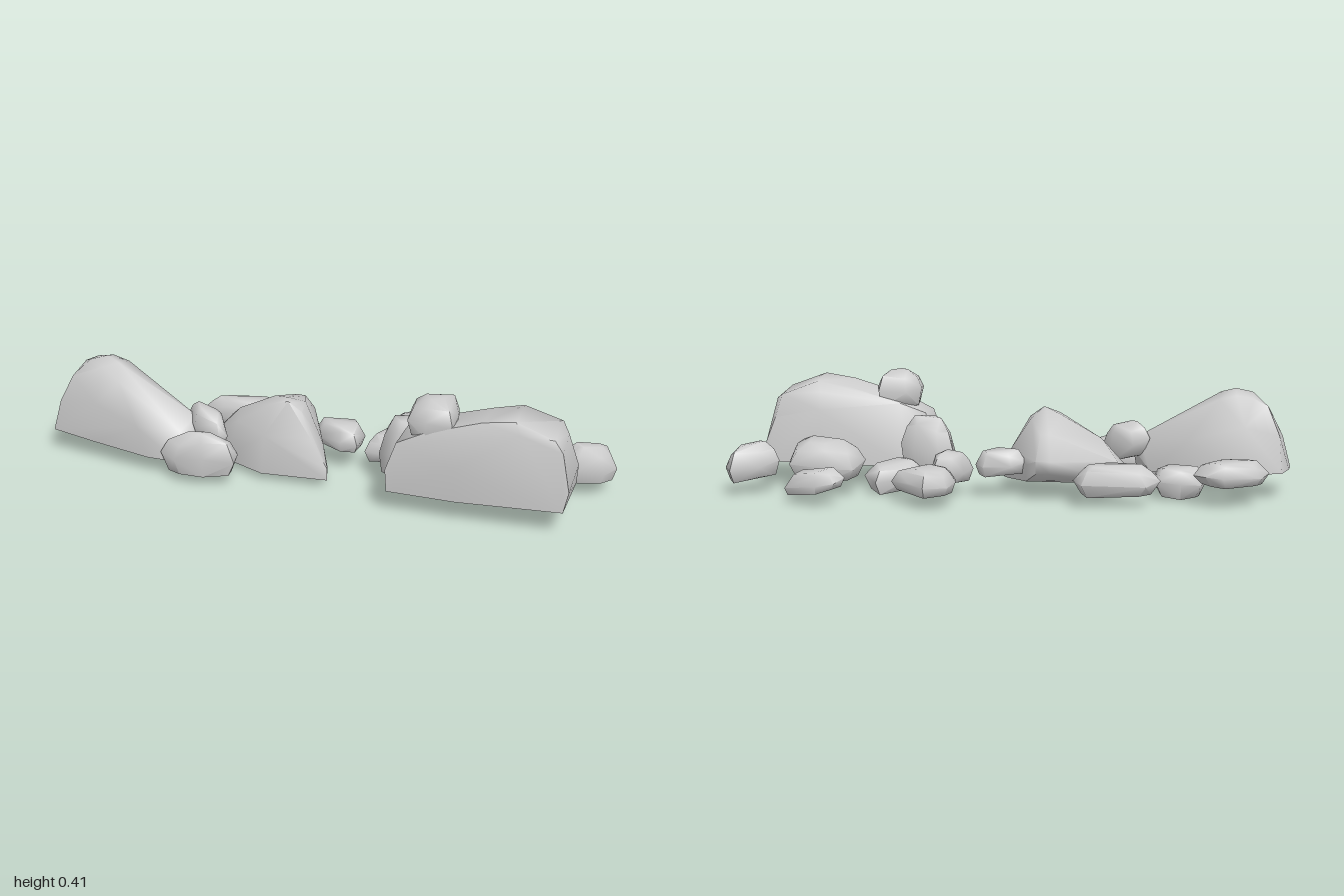
import * as THREE from 'three';
import { ConvexGeometry } from 'three/addons/geometries/ConvexGeometry.js';
import { toCreasedNormals } from 'three/addons/utils/BufferGeometryUtils.js';

const material = new THREE.MeshStandardMaterial({ color: 0xcccccc });

// A worn stone: the hull of its corner points, smooth except at strong edges
function stone(name, points) {
  const geometry = new ConvexGeometry(points.map((p) => new THREE.Vector3(...p)));
  const mesh = new THREE.Mesh(toCreasedNormals(geometry, 1.15), material);
  mesh.name = name;
  return mesh;
}

// A small stone from its plan outline [x, z]: inset base, wide belly, sloping shoulder, uneven top.
// tiltX and tiltZ lean the whole stone: rise in y per unit of x or z.
function pebble(name, outline, y0, y1, { belly = 0.35, top = 0.5, base = 0.72, tiltX = 0, tiltZ = 0 } = {}) {
  const cx = outline.reduce((s, p) => s + p[0], 0) / outline.length;
  const cz = outline.reduce((s, p) => s + p[1], 0) / outline.length;
  const h = y1 - y0;
  const points = [];
  // [height share, scale of the outline, unevenness]
  const rings = [[0, base, 0.07], [belly, 1, 0.12], [belly + (1 - belly) * 0.6, 0.8, 0.1], [1, top, -0.12]];
  rings.forEach(([t, s, uneven], r) => {
    outline.forEach(([x, z], i) => {
      const dx = (x - cx) * s, dz = (z - cz) * s;
      const wear = uneven * h * (0.5 + 0.5 * Math.sin(i * 2.3 + r * 1.7));
      points.push([cx + dx, Math.max(0, y0 + h * t + wear + dx * tiltX + dz * tiltZ), cz + dz]);
    });
  });
  return stone(name, points);
}

export function createModel() {
  const group = new THREE.Group();
  group.name = 'rockRow';

  // Large boulder at the left end, high at its outer end
  group.add(stone('leftBoulder', [
    [-0.96, 0.09, -0.01], [-0.83, 0.085, -0.02], [-0.72, 0.08, 0.02], [-0.5, 0.075, 0.08],
    [-0.45, 0.08, 0.18], [-0.5, 0.06, 0.24], [-0.61, 0.06, 0.235], [-0.83, 0.072, 0.19],
    [-1, 0.085, 0.155], [-0.99, 0.09, 0.08],
    [-0.44, 0.15, 0.13], [-0.44, 0.15, 0.19], [-0.46, 0.195, 0.13], [-0.49, 0.17, 0.225],
    [-0.97, 0.2, 0.15], [-0.95, 0.22, 0.01], [-0.83, 0.25, 0], [-0.82, 0.22, 0.185],
    [-0.65, 0.17, 0.23], [-0.63, 0.19, 0.05], [-0.92, 0.3, 0.14], [-0.91, 0.32, 0.04],
    [-0.86, 0.36, 0.12], [-0.86, 0.345, 0.045], [-0.8, 0.375, 0.1], [-0.8, 0.355, 0.045],
    [-0.8, 0.35, 0.15], [-0.75, 0.36, 0.12], [-0.74, 0.34, 0.05], [-0.73, 0.31, 0.175],
    [-0.62, 0.275, 0.11], [-0.6, 0.24, 0.19],
  ]));

  // Wide pointed boulder in the middle
  group.add(stone('middleBoulder', [
    [-0.41, 0.035, 0.04], [-0.38, 0.06, -0.05], [-0.24, 0.07, -0.09], [-0.16, 0.1, -0.15],
    [-0.11, 0.1, -0.145], [-0.07, 0.06, -0.07], [0.01, 0.04, 0.1], [0.03, 0.03, 0.18],
    [-0.21, 0.025, 0.18], [-0.37, 0.03, 0.11],
    [-0.43, 0.09, 0.03], [-0.39, 0.13, -0.06], [-0.26, 0.13, -0.09], [-0.16, 0.145, -0.16],
    [-0.11, 0.145, -0.155], [-0.07, 0.12, -0.07], [0.03, 0.07, 0.175], [0, 0.14, 0.12],
    [-0.03, 0.17, 0.165], [-0.2, 0.17, 0.175], [-0.33, 0.2, 0.03], [-0.31, 0.19, 0.12],
    [-0.15, 0.228, -0.075], [-0.12, 0.225, -0.075], [-0.19, 0.275, 0.06], [-0.18, 0.275, 0.13],
    [-0.14, 0.25, -0.005], [-0.13, 0.297, 0.11], [-0.12, 0.295, 0.14], [-0.08, 0.265, 0.06], [-0.07, 0.26, 0.14],
  ]));

  // Large blocky boulder at the right
  group.add(stone('rightBoulder', [
    [0.28, 0.075, 0.13], [0.27, 0.08, 0.3], [0.51, 0.08, 0.315], [0.87, 0.09, 0.315],
    [0.88, 0.09, 0.083], [0.67, 0.08, 0.083], [0.38, 0.075, 0.1],
    [0.885, 0.16, 0.085], [0.885, 0.16, 0.305], [0.85, 0.25, 0.086], [0.86, 0.3, 0.308],
    [0.5, 0.2, 0.32], [0.83, 0.33, 0.115], [0.83, 0.34, 0.3], [0.858, 0.31, 0.17],
    [0.7, 0.378, 0.13], [0.7, 0.388, 0.295], [0.72, 0.35, 0.315], [0.69, 0.28, 0.085],
    [0.69, 0.34, 0.108], [0.6, 0.36, 0.14], [0.59, 0.37, 0.29], [0.4, 0.3, 0.13], [0.4, 0.31, 0.29],
    [0.31, 0.265, 0.14], [0.3, 0.26, 0.29], [0.27, 0.16, 0.13], [0.265, 0.16, 0.3],
  ]));

  // Stones around the left boulder
  group.add(pebble('frontLeftStone',
    [[-0.555, 0.25], [-0.47, 0.2], [-0.38, 0.185], [-0.28, 0.22], [-0.28, 0.265], [-0.39, 0.285], [-0.49, 0.295]],
    0.03, 0.19, { top: 0.28, base: 0.82, tiltX: 0.05 }));
  group.add(pebble('wedgedStone',
    [[-0.5, 0.1], [-0.44, 0.08], [-0.36, 0.12], [-0.33, 0.18], [-0.35, 0.21], [-0.45, 0.19]],
    0.11, 0.24, { tiltX: -0.2 }));
  group.add(pebble('backLeftStone',
    [[-0.54, -0.16], [-0.49, -0.23], [-0.27, -0.24], [-0.24, -0.17], [-0.25, -0.135], [-0.36, -0.11], [-0.47, -0.12]],
    0.035, 0.145, { top: 0.6, base: 0.8 }));
  group.add(pebble('outerLeftStone',
    [[-0.91, -0.11], [-0.88, -0.17], [-0.75, -0.22], [-0.69, -0.2], [-0.65, -0.12], [-0.74, -0.07], [-0.87, -0.04]],
    0.07, 0.155, { top: 0.65, base: 0.8 }));
  group.add(pebble('lowLeftStone',
    [[-0.7, -0.02], [-0.68, -0.08], [-0.61, -0.1], [-0.52, -0.07], [-0.51, 0.03], [-0.55, 0.045], [-0.66, 0.01]],
    0.005, 0.115, { top: 0.65, belly: 0.45 }));

  // Stones between the middle and right boulders
  group.add(pebble('gapStone',
    [[-0.07, -0.04], [-0.02, -0.08], [0.08, -0.085], [0.11, -0.04], [0.1, 0.04], [0.04, 0.045], [-0.05, 0.01]],
    0.075, 0.165, { top: 0.7, base: 0.85, tiltX: -0.05 }));
  group.add(pebble('slimStone',
    [[0.125, 0.03], [0.15, -0.04], [0.19, -0.09], [0.25, -0.1], [0.265, -0.04], [0.23, 0.03], [0.18, 0.05]],
    0.05, 0.155, { top: 0.5, base: 0.8, tiltX: 0.2 }));
  group.add(pebble('uprightStone',
    [[0.2, 0.05], [0.25, 0.03], [0.34, 0.035], [0.39, 0.07], [0.36, 0.14], [0.27, 0.16], [0.2, 0.12]],
    0.055, 0.265, { top: 0.5, base: 0.9, tiltX: 0.15 }));
  group.add(pebble('lowRightStone',
    [[0.3, 0.03], [0.35, -0.02], [0.46, -0.08], [0.51, -0.01], [0.46, 0.05], [0.4, 0.09], [0.32, 0.09]],
    0.01, 0.11, { top: 0.6, belly: 0.45, base: 0.8, tiltZ: 0.15 }));

  // Loose stones behind the right boulder
  group.add(pebble('backStone',
    [[0.16, -0.21], [0.18, -0.29], [0.26, -0.325], [0.32, -0.25], [0.39, -0.17], [0.27, -0.09], [0.17, -0.14]],
    0.04, 0.13, { top: 0.6, base: 0.85 }));
  group.add(pebble('backRightStone',
    [[0.54, -0.24], [0.57, -0.29], [0.63, -0.305], [0.755, -0.22], [0.75, -0.17], [0.73, -0.125], [0.62, -0.18]],
    0.04, 0.115, { top: 0.65, base: 0.88, belly: 0.3, tiltX: -0.2 }));
  group.add(pebble('propStone',
    [[0.5, -0.04], [0.53, -0.13], [0.63, -0.14], [0.76, -0.11], [0.78, 0.01], [0.76, 0.07], [0.66, 0.06], [0.53, -0.01]],
    0.06, 0.195, { top: 0.45, base: 0.8, tiltZ: 0.1 }));
  group.add(pebble('farRightStone',
    [[0.81, -0.04], [0.87, -0.09], [0.97, -0.125], [1, -0.06], [0.96, -0.01], [0.87, 0.025], [0.83, 0.01]],
    0.05, 0.18, { top: 0.45, base: 0.85, belly: 0.3, tiltX: -0.12 }));

  // Stone resting on top of the right boulder
  group.add(pebble('topStone',
    [[0.33, 0.19], [0.38, 0.14], [0.48, 0.135], [0.495, 0.21], [0.49, 0.29], [0.4, 0.3], [0.335, 0.28]],
    0.28, 0.415, { top: 0.38, belly: 0.4, base: 0.85 }));

  return group;
}
